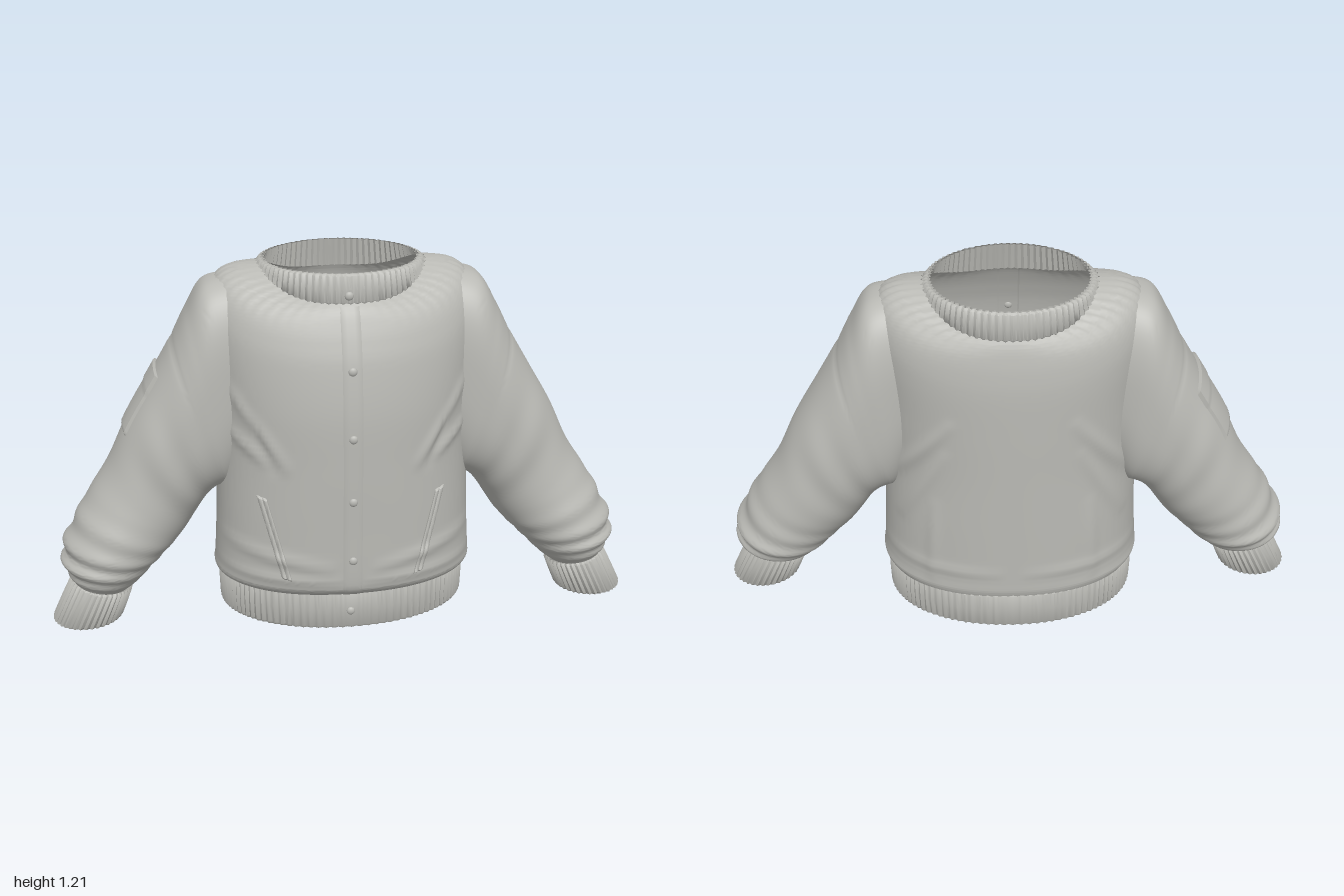
import * as THREE from 'three';
import { toCreasedNormals } from 'three/addons/utils/BufferGeometryUtils.js';

const { abs, sign, cos, sin, PI, exp, hypot, min, max } = Math;
const cloth = new THREE.MeshStandardMaterial({ color: 0xb9b9b4, side: THREE.DoubleSide });
cloth.name = 'grey cloth';

// Grid surface from a rule: fn(u, v) -> [x, y, z]
function surface(nu, nv, fn, crease = 1) {
  const pos = [], idx = [];
  for (let i = 0; i <= nu; i++)
    for (let j = 0; j <= nv; j++) pos.push(...fn(i / nu, j / nv));
  for (let i = 0; i < nu; i++)
    for (let j = 0; j < nv; j++) {
      const a = i * (nv + 1) + j, b = a + nv + 1;
      idx.push(a, a + 1, b, b, a + 1, b + 1);
    }
  const g = new THREE.BufferGeometry();
  g.setAttribute('position', new THREE.Float32BufferAttribute(pos, 3));
  g.setIndex(idx);
  return toCreasedNormals(g, crease);
}

// Smooth interpolation through a list of cross-sections
function sample(rows, t) {
  const n = rows.length - 1, f = min(max(t, 0), 1) * n, i = min(Math.floor(f), n - 1), u = f - i;
  const p = k => rows[min(max(i + k, 0), n)];
  return rows[0].map((_, k) => {
    const [a, b, c, d] = [p(-1)[k], p(0)[k], p(1)[k], p(2)[k]];
    return b + 0.5 * u * (c - a + u * (2 * a - 5 * b + 4 * c - d + u * (3 * (b - c) + d - a)));
  });
}
const power = (c, q) => sign(c) * abs(c) ** q;

// Torso sections: half width, side height, front z, back z, front height, squareness
const TORSO = [
  [0.422, 0.14, 0.262, -0.3, 0.14, 2.2],
  [0.44, 0.165, 0.295, -0.306, 0.165, 2.2],
  [0.436, 0.21, 0.308, -0.306, 0.21, 2.2],
  [0.425, 0.4, 0.31, -0.306, 0.4, 2.2],
  [0.42, 0.6, 0.311, -0.306, 0.6, 2.1],
  [0.425, 0.82, 0.307, -0.306, 0.78, 2.1],
  [0.435, 1.0, 0.287, -0.304, 0.93, 2.1],
  [0.43, 1.1, 0.265, -0.297, 1.01, 2.1],
  [0.4, 1.165, 0.243, -0.287, 1.065, 2.1],
  [0.345, 1.195, 0.225, -0.277, 1.1, 2],
  [0.268, 1.203, 0.205, -0.266, 1.122, 2],
];
function torsoPoint([a, yS, zF, zB, yF, e], th, off = 0) {
  return [(a + off) * power(cos(th), 2 / e), yF + (yS - yF) * abs(cos(th)) ** 3.6,
    (zF + zB) / 2 + ((zF - zB) / 2 + off) * power(sin(th), 2 / e)];
}

// Sleeve sections: outer x, y, inner x, y, front z, back z, squareness
const SLEEVE = [
  [0.335, 1.17, 0.335, 0.55, 0.15, -0.18, 2.8],
  [0.44, 1.15, 0.36, 0.5, 0.165, -0.2, 2.8],
  [0.5, 1.06, 0.38, 0.475, 0.17, -0.205, 2.7],
  [0.55, 0.965, 0.4, 0.465, 0.171, -0.206, 2.5],
  [0.63, 0.83, 0.43, 0.45, 0.17, -0.205, 2.3],
  [0.71, 0.695, 0.465, 0.41, 0.165, -0.198, 2.2],
  [0.775, 0.56, 0.5, 0.355, 0.162, -0.193, 2.1],
  [0.84, 0.46, 0.53, 0.31, 0.172, -0.188, 2],
  [0.89, 0.38, 0.57, 0.265, 0.185, -0.18, 2],
  [0.935, 0.29, 0.61, 0.225, 0.188, -0.178, 2],
  [0.95, 0.225, 0.65, 0.185, 0.182, -0.16, 2],
  [0.935, 0.175, 0.69, 0.145, 0.162, -0.115, 2],
  [0.92, 0.15, 0.735, 0.11, 0.138, -0.072, 2],
];
function sleevePoint([ox, oy, ix, iy, zF, zB, e], th, off = 0, side = 1) {
  const hx = (ox - ix) / 2, hy = (oy - iy) / 2, k = power(cos(th), 2 / e) * (1 + off / hypot(hx, hy));
  return [side * ((ox + ix) / 2 + hx * k), (oy + iy) / 2 + hy * k,
    (zF + zB) / 2 + ((zF - zB) / 2 + off) * power(sin(th), 2 / e)];
}

// Cloth folds: a soft ridge along a segment, strongest in the middle
function ridge(x, y, [x0, y0, x1, y1, w, h]) {
  const dx = x1 - x0, dy = y1 - y0, l = dx * dx + dy * dy;
  const u = min(max(((x - x0) * dx + (y - y0) * dy) / l, 0), 1);
  const d = hypot(x - x0 - u * dx, y - y0 - u * dy);
  return h * exp(-((d / w) ** 2)) * (0.35 + 0.65 * sin(PI * u));
}
const FRONT_FOLDS = [
  [0.38, 0.85, 0.21, 0.61, 0.018, 0.01], [0.4, 0.72, 0.27, 0.62, 0.016, 0.009],
  [0.08, 0.26, 0.4, 0.32, 0.018, 0.009], [0.05, 0.21, 0.42, 0.22, 0.015, 0.006],
  [0.33, 0.8, 0.25, 0.6, 0.018, -0.006],
];
const BACK_FOLDS = [
  [0.4, 0.55, 0.2, 0.82, 0.02, 0.01], [0.36, 0.42, 0.22, 0.7, 0.02, 0.008],
  [0.05, 0.24, 0.42, 0.25, 0.018, 0.006], [0.27, 0.2, 0.25, 0.5, 0.02, 0.006],
];
function torsoFold(p, t, th) {
  let f = 0;
  for (const seg of sin(th) > 0 ? FRONT_FOLDS : BACK_FOLDS) f += ridge(abs(p[0]), p[1], seg);
  f *= min(1, abs(sin(th)) * 2);
  // gathers running out from the collar over the shoulders
  return f + 0.006 * min(max((t - 0.76) * 7, 0), 1) * cos(th * 56) * cos(th) ** 2;
}
function sleeveFold(t, th) {
  const g = (c, w) => exp(-(((t - c) / w) ** 2));
  const low = 0.009 * g(0.79, 0.12) * sin(68 * t + 1.3 * sin(th + 0.5)) * (0.6 + 0.4 * cos(th));
  const top = 0.004 * g(0.4, 0.1) * sin(50 * t + 2.2 * cos(th)) * sin(th) ** 2;
  const seam = -0.004 * g(0.25, 0.007) * max(cos(th), 0);
  return low + top + seam;
}

// Point lying on the front of the torso at a given x and y
function onFront(x, y, off) {
  let th = PI / 2, t = 0;
  for (let k = 0; k < 6; k++) {
    let lo = 0, hi = 1;
    for (let i = 0; i < 24; i++) {
      t = (lo + hi) / 2;
      if (torsoPoint(sample(TORSO, t), th)[1] < y) lo = t; else hi = t;
    }
    const v = sample(TORSO, t);
    th = Math.acos(sign(x) * min(abs(x) / v[0], 1) ** (v[5] / 2));
  }
  const p = torsoPoint(sample(TORSO, t), th);
  return [x, y, p[2] + torsoFold(p, t, th) + off];
}

// Ribbed band with an inside wall, between two sections
function ribbed(top, bottom, point, ribs, depth, thick) {
  const loop = [[0, -0.004], [0.06, 0.003], [0.5, 0.004], [0.94, 0.003], [1, -0.002], [1, -thick], [0.5, -thick], [0, -thick]];
  return surface(loop.length - 1, ribs * 4, (u, v) => {
    const [k, off] = loop[Math.round(u * (loop.length - 1))];
    const row = top.map((a, i) => a + (bottom[i] - a) * k), th = v * 2 * PI;
    return point(row, th, off + depth * cos(ribs * th));
  });
}

export function createModel() {
  const model = new THREE.Group();
  model.name = 'jacket';
  const add = (name, geo, parent = model) => {
    const m = new THREE.Mesh(geo, cloth);
    m.name = name;
    parent.add(m);
    return m;
  };

  add('body', surface(110, 224, (t, v) => {
    const th = v * 2 * PI, row = sample(TORSO, t);
    return torsoPoint(row, th, torsoFold(torsoPoint(row, th), t, th));
  }));
  add('waistband', ribbed([0.42, 0.148, 0.257, -0.3, 0.148, 2.1], [0.418, 0.008, 0.254, -0.3, 0.008, 2.1],
    torsoPoint, 100, 0.003, 0.016));
  add('collar', ribbed([0.256, 1.21, 0.192, -0.258, 1.21, 2], [0.268, 1.197, 0.206, -0.267, 1.118, 2],
    torsoPoint, 76, 0.003, 0.012));

  // Sleeves and cuffs
  for (const side of [1, -1]) {
    const arm = new THREE.Group();
    arm.name = side > 0 ? 'leftArm' : 'rightArm';
    model.add(arm);
    add('sleeve', surface(120, 72, (t, v) =>
      sleevePoint(sample(SLEEVE, t), v * 2 * PI, sleeveFold(t, v * 2 * PI), side)), arm);
    add('cuff', ribbed([0.918, 0.155, 0.728, 0.105, 0.138, -0.074, 2], [0.995, 0, 0.77, 0, 0.143, -0.064, 2],
      (r, th, off) => sleevePoint(r, th, off, side), 36, 0.003, 0.014), arm);

    // Slanted pocket with two raised welts
    add('pocket', surface(30, 16, (u, v) => {
      const x = 0.29 - 0.075 * u + 0.034 * (v - 0.5), y = 0.505 - 0.29 * u + 0.008 * (v - 0.5);
      const edge = u === 0 || u === 1 || v === 0 || v === 1;
      return onFront(side * x, y, edge ? -0.004 : 0.004 + 0.005 * abs(sin(2 * PI * v)));
    }, 0.7));
  }

  // Patch pocket with flap on the right sleeve
  add('sleevePocket', surface(24, 16, (u, v) => {
    const t = 0.305 + 0.128 * u, th = -0.66 + 1.1 * v;
    const edge = u === 0 || u === 1 || v === 0 || v === 1;
    return sleevePoint(sample(SLEEVE, t), th, edge ? -0.004 : (u < 0.3 ? 0.012 : 0.008) + sleeveFold(t, th), -1);
  }, 0.7));

  // Front placket and snap buttons
  add('placket', surface(60, 6, (u, v) => {
    const edge = v === 0 || v === 1;
    return onFront(-0.04 + 0.072 * v, 0.15 + 0.965 * u, edge ? -0.003 : 0.004);
  }, 0.6));
  for (const y of [1.145, 0.93, 0.715, 0.5, 0.29, 0.075]) {
    const z = y > 1.13 ? 0.206 : y < 0.14 ? 0.261 : onFront(0, y, 0.003)[2];
    const b = add('button', new THREE.SphereGeometry(0.014, 16, 10));
    b.scale.z = 0.6;
    b.position.set(-0.004, y, z);
  }
  return model;
}
